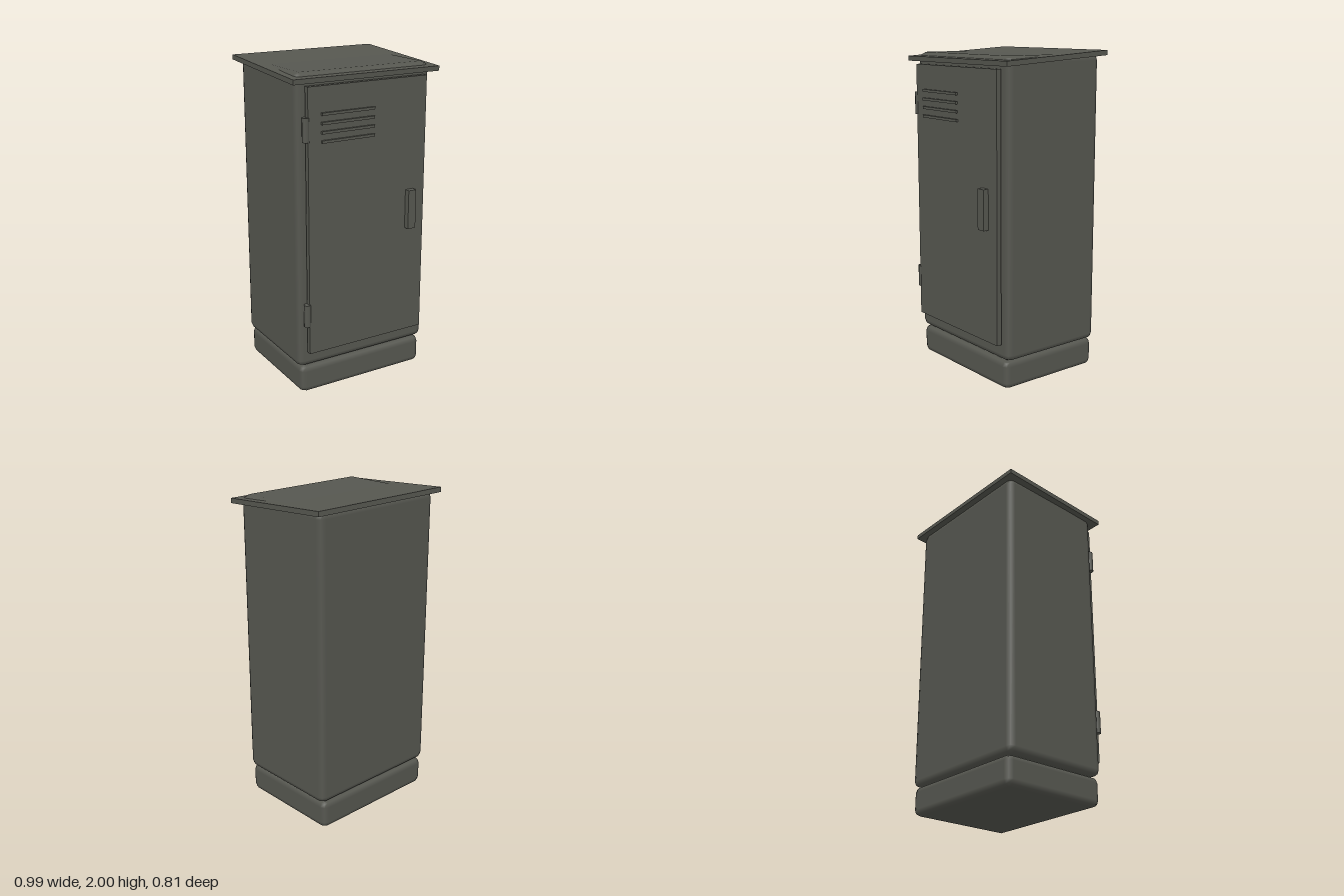
import * as THREE from 'three';
import { RoundedBoxGeometry } from 'three/addons/geometries/RoundedBoxGeometry.js';

export function createModel() {
  const model = new THREE.Group();
  model.name = 'utilityCabinet';
  const paint = new THREE.MeshStandardMaterial({ color: 0x565750 });
  paint.name = 'dark grey paint';

  const add = (name, geometry, parent = model) => {
    const mesh = new THREE.Mesh(geometry, paint);
    mesh.name = name;
    parent.add(mesh);
    return mesh;
  };

  // Box given by its limits on each axis; a radius softens the edges
  const box = (name, [x0, x1], [y0, y1], [z0, z1], radius = 0, parent = model) => {
    const size = [x1 - x0, y1 - y0, z1 - z0];
    const geometry = radius
      ? new RoundedBoxGeometry(...size, 1, radius)
      : new THREE.BoxGeometry(...size);
    const mesh = add(name, geometry, parent);
    mesh.position.set((x0 + x1) / 2, (y0 + y1) / 2, (z0 + z1) / 2);
    return mesh;
  };

  // Plinth and cabinet body
  box('plinth', [-0.44, 0.44], [0, 0.18], [-0.377, 0.327], 0.038);
  box('body', [-0.457, 0.457], [0.18, 1.98], [-0.377, 0.327], 0.04);

  // Sloping roof slab, higher at the back; the body top just breaks through
  const roof = add('roof', new THREE.BoxGeometry(0.99, 0.03, 0.775));
  roof.position.set(0, 1.9625, -0.0175);
  roof.rotation.x = 0.058;

  // Door with its fittings, held slightly off the body
  const door = new THREE.Group();
  door.name = 'door';
  model.add(door);
  box('doorPanel', [-0.405, 0.405], [0.285, 1.908], [0.338, 0.37], 0, door);
  box('handle', [0.27, 0.325], [0.975, 1.22], [0.365, 0.406], 0, door);

  // Ventilation slats
  for (let i = 0; i < 4; i++) {
    const y = 1.59 + i * 0.053;
    box('ventSlat', [-0.32, 0.032], [y - 0.008, y + 0.008], [0.365, 0.384], 0, door);
  }

  // Hinge barrels
  for (const y of [0.535, 1.665]) {
    const hinge = add('hinge', new THREE.CylinderGeometry(0.022, 0.022, 0.14, 8), door);
    hinge.position.set(-0.412, y, 0.354);
  }

  return model;
}
